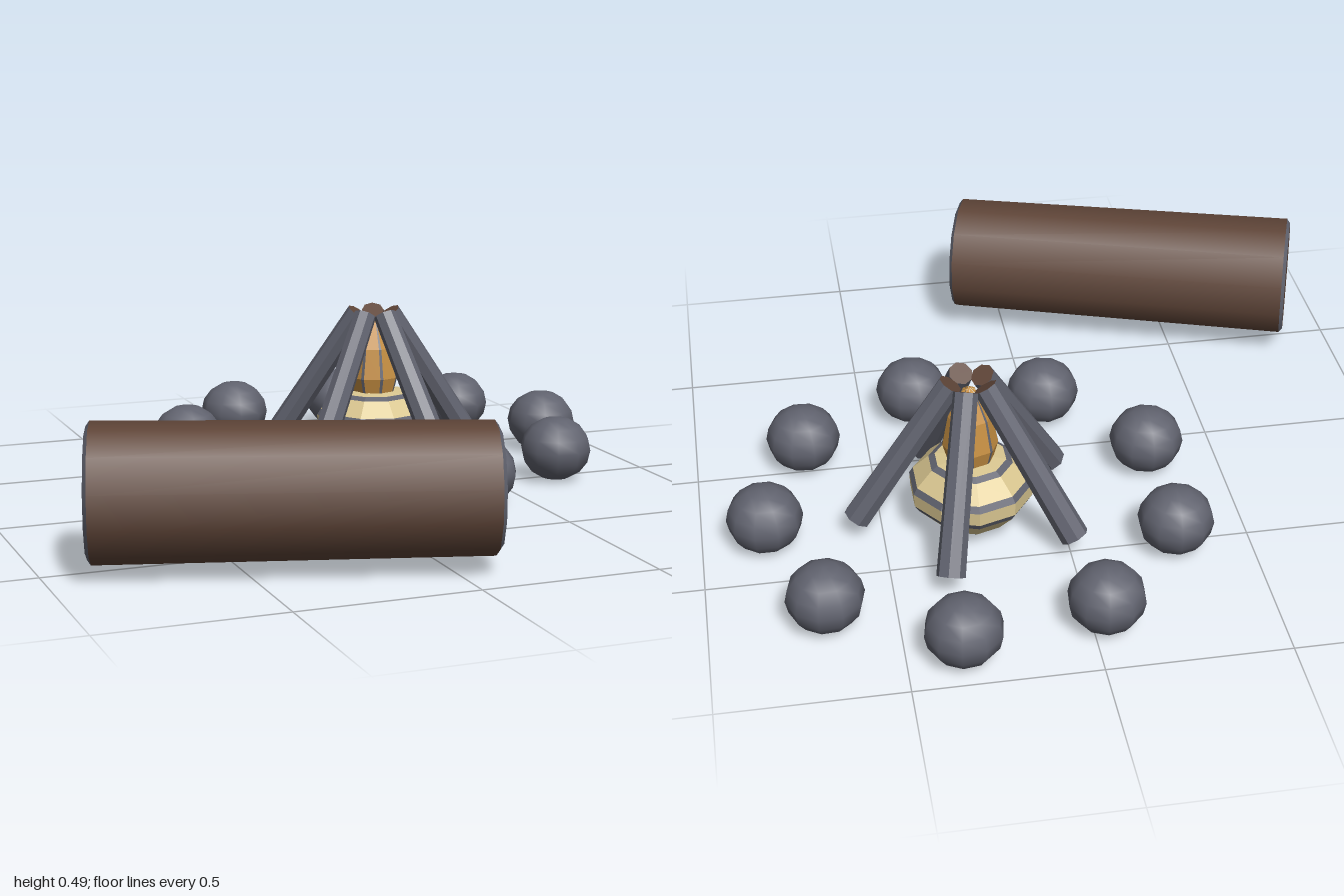
import * as THREE from 'three';

const mat = (name, color, extra = {}) => new THREE.MeshStandardMaterial({ name, color, ...extra });

export function createModel() {
  const brown = mat('bark brown', 0x5f4538);
  const grey = mat('stone grey', 0x61636f);
  const stickGrey = mat('stone grey flat', 0x61636f, { flatShading: true });
  const cream = mat('pale flame cream', 0xdac791, { flatShading: true });
  const orange = mat('flame orange', 0xc68f42, { flatShading: true });

  const model = new THREE.Group();
  model.name = 'campfire';
  const add = (parent, name, geo, material) => {
    const mesh = new THREE.Mesh(geo, material);
    mesh.name = name;
    parent.add(mesh);
    return mesh;
  };
  // Lathe from [radius, height] pairs listed from bottom to top
  const lathe = (pts, sides, start = 0, sweep = Math.PI * 2) =>
    new THREE.LatheGeometry(pts.map(([r, y]) => new THREE.Vector2(r, y)), sides, start, sweep);

  const fire = new THREE.Group();
  fire.name = 'fire';
  fire.position.set(0.25, 0, -0.33);
  model.add(fire);

  // Ring of nine stones
  const stoneGeo = new THREE.SphereGeometry(0.106, 10, 8).scale(1, 0.9, 1);
  for (let i = 0; i < 9; i++) {
    const a = (i / 9) * Math.PI * 2;
    const stone = add(fire, 'stone', stoneGeo, grey);
    stone.position.set(Math.cos(a) * 0.573, 0.095, Math.sin(a) * 0.573);
    stone.rotation.y = -a;
  }

  // Five leaning sticks with brown cut ends
  const foot = new THREE.Vector3(0.32, 0.063, 0);
  const tip = new THREE.Vector3(0.05, 0.475, 0);
  const along = tip.clone().sub(foot);
  const stickGeo = new THREE.CylinderGeometry(0.034, 0.04, along.length(), 8);
  for (let i = 0; i < 5; i++) {
    const pivot = new THREE.Group();
    pivot.name = 'stickPivot';
    pivot.rotation.y = (i / 5) * Math.PI * 2;
    const stick = add(pivot, 'stick', stickGeo, [stickGrey, brown, brown]);
    stick.position.copy(foot).add(tip).multiplyScalar(0.5);
    stick.quaternion.setFromUnitVectors(new THREE.Vector3(0, 1, 0), along.clone().normalize());
    fire.add(pivot);
  }

  // Squat pale flame base: rings alternate between cream faces and grey edges
  const rings = [
    [0, 0.03], [0.09, 0.03], [0.11, 0.045], [0.16, 0.1], [0.172, 0.12],
    [0.174, 0.16], [0.163, 0.178], [0.118, 0.222], [0.1, 0.232], [0, 0.245],
  ];
  for (let i = 0; i < rings.length - 1; i++) {
    const edge = i % 2 === 1;
    add(fire, edge ? 'baseEdge' : 'baseBand', lathe([rings[i], rings[i + 1]], 10), edge ? stickGrey : cream);
  }

  // Upright inner flame with narrow grey edges between its faces
  const flame = [[0.055, 0.2], [0.077, 0.28], [0.06, 0.37], [0.02, 0.45], [0, 0.46]];
  const step = Math.PI / 4;
  for (let i = 0; i < 8; i++) {
    add(fire, 'flameFace', lathe(flame, 1, i * step, step * 0.84), orange);
    add(fire, 'flameEdge', lathe(flame.slice(0, 4), 1, (i + 0.84) * step, step * 0.16), stickGrey);
  }

  // Seat log, slightly tapered, with chamfered grey rims and brown cut ends
  const log = new THREE.Group();
  log.name = 'seatLog';
  const h = 0.525, b = 0.01;
  add(log, 'bark', lathe([[0.183, -h + b], [0.174, h - b]], 12), brown);
  add(log, 'startRim', lathe([[0.169, -h], [0.183, -h + b]], 12), grey);
  add(log, 'endRim', lathe([[0.174, h - b], [0.16, h]], 12), grey);
  add(log, 'startCut', lathe([[0, -h], [0.169, -h]], 12), brown);
  add(log, 'endCut', lathe([[0.16, h], [0, h]], 12), brown);
  log.quaternion.setFromUnitVectors(
    new THREE.Vector3(0, 1, 0), new THREE.Vector3(Math.cos(Math.PI / 10), 0, Math.sin(Math.PI / 10)));
  log.position.set(-0.375, 0.21, 0.667);
  model.add(log);

  return model;
}
